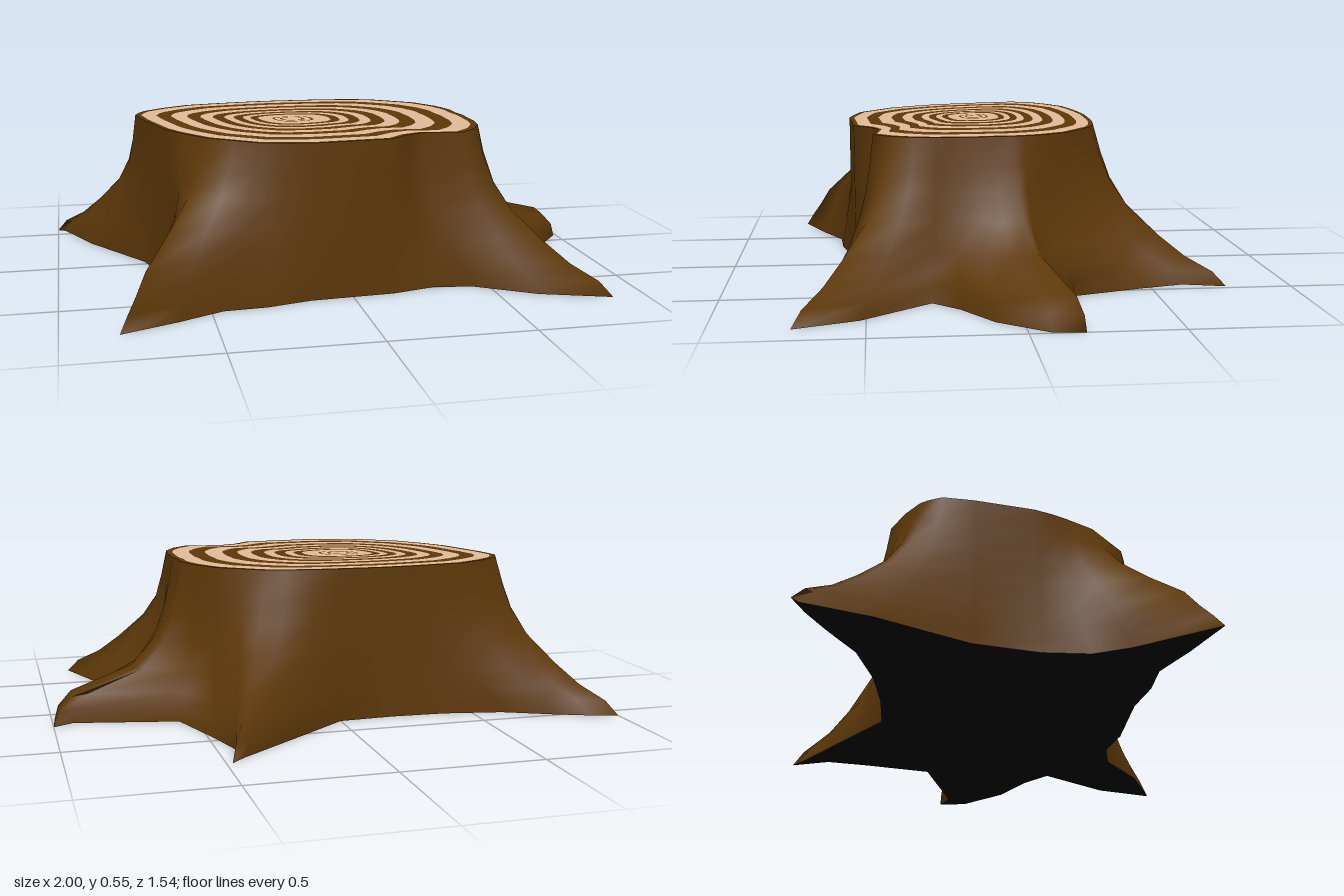
import * as THREE from 'three';

const HEIGHT = 0.55;
const PITH = [-0.13, 0.08];

// Ground outline and matching rim point, as [groundX, groundZ, rimX, rimZ]
const OUTLINE = [
  // right root
  [0.56, -0.22, 0.48, -0.1], [0.93, -0.14, 0.5, -0.04], [1, -0.18, 0.51, 0],
  [0.99, -0.07, 0.51, 0.06], [0.86, 0.09, 0.52, 0.12], [0.7, 0.19, 0.52, 0.19],
  // front right root
  [0.61, 0.28, 0.52, 0.26], [0.8, 0.52, 0.51, 0.33], [0.88, 0.735, 0.47, 0.41],
  [0.64, 0.65, 0.41, 0.47], [0.44, 0.52, 0.27, 0.45], [0.3, 0.5, 0.2, 0.48],
  [0.15, 0.54, 0.14, 0.54], [-0.15, 0.56, -0.13, 0.56],
  // front left root
  [-0.31, 0.6, -0.24, 0.54], [-0.46, 0.61, -0.32, 0.52], [-0.62, 0.69, -0.4, 0.46],
  [-0.81, 0.77, -0.48, 0.4], [-0.65, 0.5, -0.55, 0.3], [-0.6, 0.37, -0.58, 0.25],
  [-0.61, 0.2, -0.61, 0.19], [-0.68, -0.03, -0.67, -0.02],
  // back left root
  [-0.87, -0.33, -0.69, -0.13], [-0.97, -0.55, -0.67, -0.18], [-1, -0.57, -0.65, -0.21],
  [-0.9, -0.54, -0.58, -0.265], [-0.78, -0.49, -0.48, -0.32], [-0.61, -0.41, -0.36, -0.34],
  [-0.4, -0.37, -0.28, -0.35], [-0.2, -0.36, -0.16, -0.36],
  // back root
  [0, -0.37, 0, -0.355], [0.22, -0.55, 0.09, -0.35], [0.43, -0.72, 0.19, -0.335],
  [0.48, -0.77, 0.27, -0.31], [0.44, -0.62, 0.34, -0.26], [0.48, -0.47, 0.42, -0.2],
];
const RIGHT_TIP = 2;
const FRONT_LEFT_TIP = 17;

// Spread from rim (0) to ground outline (1) at each height:
// [height, usual root, low shouldered right root, steep front left root]
const FLARE = [
  [0, 1, 1, 1], [0.05, 0.9, 0.97, 0.92], [0.1, 0.7, 0.87, 0.83],
  [0.17, 0.51, 0.39, 0.72], [0.27, 0.28, 0.19, 0.46], [0.36, 0.15, 0.1, 0.25],
  [0.45, 0.07, 0.04, 0.1], [HEIGHT, 0, 0, 0],
];

// Growth ring edges as fractions of the rim, from outside to centre
const RING_EDGES = [
  1, 0.965, 0.87, 0.78, 0.68, 0.595, 0.515, 0.44, 0.38, 0.32, 0.27, 0.22,
  0.125, 0.11, 0.075, 0.06, 0,
];

const { lerp, clamp } = THREE.MathUtils;

// Joins closed rows of points, ordered from low to high or outside to inside
function loft(rows) {
  const count = rows[0].length;
  const index = [];
  for (let r = 0; r < rows.length - 1; r++) {
    for (let i = 0; i < count; i++) {
      const j = (i + 1) % count;
      const a = r * count + i, b = r * count + j;
      index.push(a, a + count, b, b, a + count, b + count);
    }
  }
  const geometry = new THREE.BufferGeometry();
  geometry.setAttribute('position', new THREE.Float32BufferAttribute(rows.flat(2), 3));
  geometry.setIndex(index);
  geometry.computeVertexNormals();
  return geometry;
}

// How strongly an outline point belongs to the root with the given tip
const near = (i, tip) => clamp(1.5 - Math.abs(i - tip) * 0.375, 0, 1);

function flareRow([y, usual, shouldered, steep]) {
  return OUTLINE.map(([bx, bz, tx, tz], i) => {
    const s = lerp(lerp(usual, shouldered, near(i, RIGHT_TIP)), steep, near(i, FRONT_LEFT_TIP));
    return [lerp(tx, bx, s), y, lerp(tz, bz, s)];
  });
}

// Rim coordinate averaged with its neighbours, so inner rings lose the notches
function smoothRim(i, axis) {
  let sum = 0;
  for (let k = -2; k <= 2; k++) sum += OUTLINE.at((i + k) % OUTLINE.length)[axis];
  return sum / 5;
}

function ringRow(scale) {
  return OUTLINE.map((point, i) => {
    const [x, z] = [2, 3].map((axis) => lerp(smoothRim(i, axis), point[axis], scale));
    return [lerp(PITH[0], x, scale), HEIGHT, lerp(PITH[1], z, scale)];
  });
}

export function createModel() {
  const material = (name, color) => {
    const m = new THREE.MeshStandardMaterial({ color });
    m.name = name;
    return m;
  };
  const bark = material('bark brown', 0x5d3808);
  const paleWood = material('pale wood', 0xe2bd9b);
  const soil = material('underside black', 0x050505);

  const model = new THREE.Group();
  model.name = 'treeStump';
  const add = (name, geometry, mat, parent = model) => {
    const mesh = new THREE.Mesh(geometry, mat);
    mesh.name = name;
    parent.add(mesh);
  };

  // Trunk with five spreading roots
  add('trunkAndRoots', loft(FLARE.map(flareRow)), bark);

  // Cut face: alternating growth rings around the pith
  const rings = new THREE.Group();
  rings.name = 'growthRings';
  model.add(rings);
  for (let i = 0; i < RING_EDGES.length - 1; i++) {
    const geometry = loft([ringRow(RING_EDGES[i]), ringRow(RING_EDGES[i + 1])]);
    add(`growthRing${i + 1}`, geometry, i % 2 ? paleWood : bark, rings);
  }

  // Flat underside
  const base = new THREE.Shape(OUTLINE.map(([x, z]) => new THREE.Vector2(x, z)));
  add('underside', new THREE.ShapeGeometry(base).rotateX(Math.PI / 2), soil);

  return model;
}
